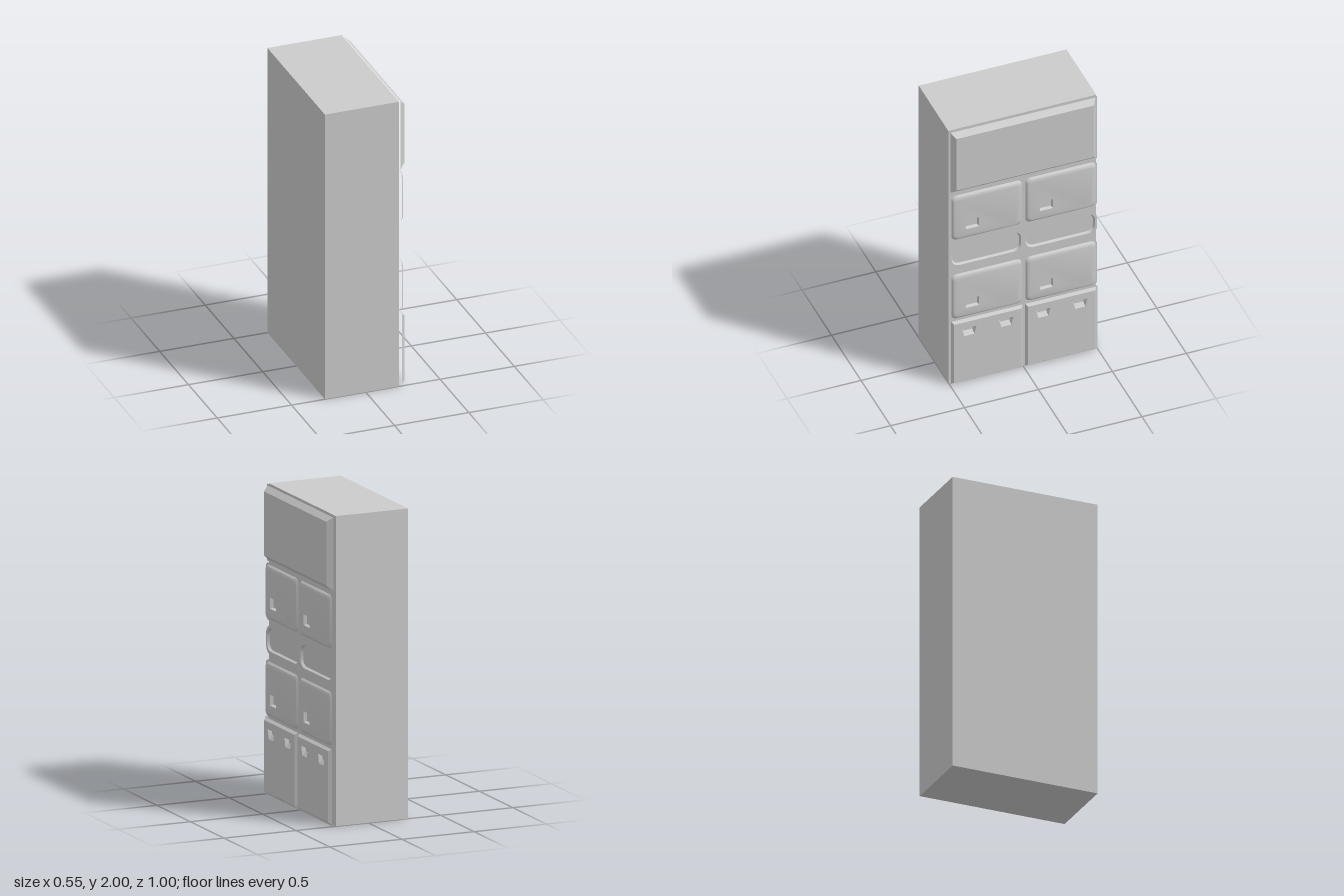
import * as THREE from 'three';
import { toCreasedNormals } from 'three/addons/utils/BufferGeometryUtils.js';

const material = new THREE.MeshStandardMaterial({ color: 0xcccccc });

// Counter-clockwise outline of a rectangle, with rounded corners when r > 0
function rect(u0, v0, u1, v1, r = 0) {
  if (!r) return [[u0, v0], [u1, v0], [u1, v1], [u0, v1]];
  const centres = [[u0 + r, v0 + r], [u1 - r, v0 + r], [u1 - r, v1 - r], [u0 + r, v1 - r]];
  const points = [], steps = 5;
  centres.forEach(([cu, cv], i) => {
    for (let k = 0; k <= steps; k++) {
      const a = Math.PI + (i + k / steps) * Math.PI / 2;
      points.push([cu + r * Math.cos(a), cv + r * Math.sin(a)]);
    }
  });
  return points;
}

// Bands joining rings [outline, depth], ordered from the outside inwards
function bands(rings, out) {
  for (let k = 0; k + 1 < rings.length; k++) {
    const [a, da] = rings[k], [b, db] = rings[k + 1];
    for (let i = 0; i < a.length; i++) {
      const j = (i + 1) % a.length;
      const p = [...a[i], da], q = [...a[j], da], r = [...b[j], db], s = [...b[i], db];
      out.push(...p, ...q, ...r, ...p, ...r, ...s);
    }
  }
}

// Flat face with holes at a given depth
function face(outline, depth, holes, out) {
  const vec = (pts) => pts.map(([u, v]) => new THREE.Vector2(u, v));
  const shape = new THREE.Shape(vec(outline));
  holes.forEach((h) => shape.holes.push(new THREE.Path(vec(h))));
  const p = new THREE.ShapeGeometry(shape).toNonIndexed().attributes.position;
  for (let i = 0; i < p.count; i++) out.push(p.getX(i), p.getY(i), depth);
}

// Pressed sheet: stepped rings, a flat centre and recesses cut into it
function pressedPanel(name, rings, recesses = []) {
  const out = [];
  bands(rings, out);
  const [outline, depth] = rings[rings.length - 1];
  face(outline, depth, recesses.map((r) => r[0][0]), out);
  for (const r of recesses) {
    bands(r, out);
    face(...r[r.length - 1], [], out);
  }
  const geometry = new THREE.BufferGeometry();
  geometry.setAttribute('position', new THREE.Float32BufferAttribute(out, 3));
  const mesh = new THREE.Mesh(toCreasedNormals(geometry, 0.5), material);
  mesh.name = name;
  return mesh;
}

export function createModel() {
  const group = new THREE.Group();
  group.name = 'storageCabinet';

  const body = new THREE.Mesh(new THREE.BoxGeometry(0.5, 2, 1), material);
  body.name = 'body';
  body.position.set(-0.025, 1, 0);
  group.add(body);

  // Panels are laid out in their own plane, then turned to face +x
  const fronts = new THREE.Group();
  fronts.name = 'fronts';
  fronts.rotation.y = Math.PI / 2;
  group.add(fronts);

  fronts.add(pressedPanel('topPanel', [
    [rect(-0.5, 1.505, 0.5, 2), 0.238],
    [rect(-0.49, 1.515, 0.49, 1.99), 0.238],
    [rect(-0.465, 1.55, 0.465, 1.96), 0.275],
  ]));

  for (const u of [-0.5, 0]) {
    const side = u < 0 ? 'left' : 'right';

    // Two drawers with a square finger recess
    for (const [row, v] of [['Upper', 1.13], ['Lower', 0.505]]) {
      fronts.add(pressedPanel(`${side}${row}Drawer`, [
        [rect(u + 0.002, v, u + 0.498, v + 0.37, 0.04), 0.247],
        [rect(u + 0.012, v + 0.01, u + 0.488, v + 0.36, 0.035), 0.247],
        [rect(u + 0.022, v + 0.02, u + 0.478, v + 0.35, 0.033), 0.259],
        [rect(u + 0.037, v + 0.033, u + 0.463, v + 0.337, 0.025), 0.264],
      ], [[
        [rect(u + 0.104, v + 0.087, u + 0.193, v + 0.157), 0.264],
        [rect(u + 0.11, v + 0.094, u + 0.187, v + 0.15), 0.244],
      ]]));
    }

    // Oblong tray between the drawers
    fronts.add(pressedPanel(`${side}Tray`, [
      [rect(u + 0.002, 0.91, u + 0.498, 1.095, 0.06), 0.245],
      [rect(u + 0.015, 0.93, u + 0.485, 1.08, 0.053), 0.245],
      [rect(u + 0.024, 0.938, u + 0.476, 1.073, 0.048), 0.229],
    ]));

    // Door with two tapered grips
    const grips = [0.125, 0.375].map((c) => {
      const m = u + c;
      return [
        [[[m - 0.034, 0.375], [m + 0.034, 0.375], [m + 0.049, 0.435], [m - 0.049, 0.435]], 0.268],
        [[[m - 0.03, 0.4], [m + 0.03, 0.4], [m + 0.039, 0.43], [m - 0.039, 0.43]], 0.244],
      ];
    });
    fronts.add(pressedPanel(`${side}Door`, [
      [rect(u + 0.002, 0.002, u + 0.498, 0.503), 0.249],
      [rect(u + 0.009, 0.009, u + 0.491, 0.497), 0.249],
      [rect(u + 0.022, 0.025, u + 0.478, 0.483), 0.268],
    ], grips));
  }
  return group;
}
